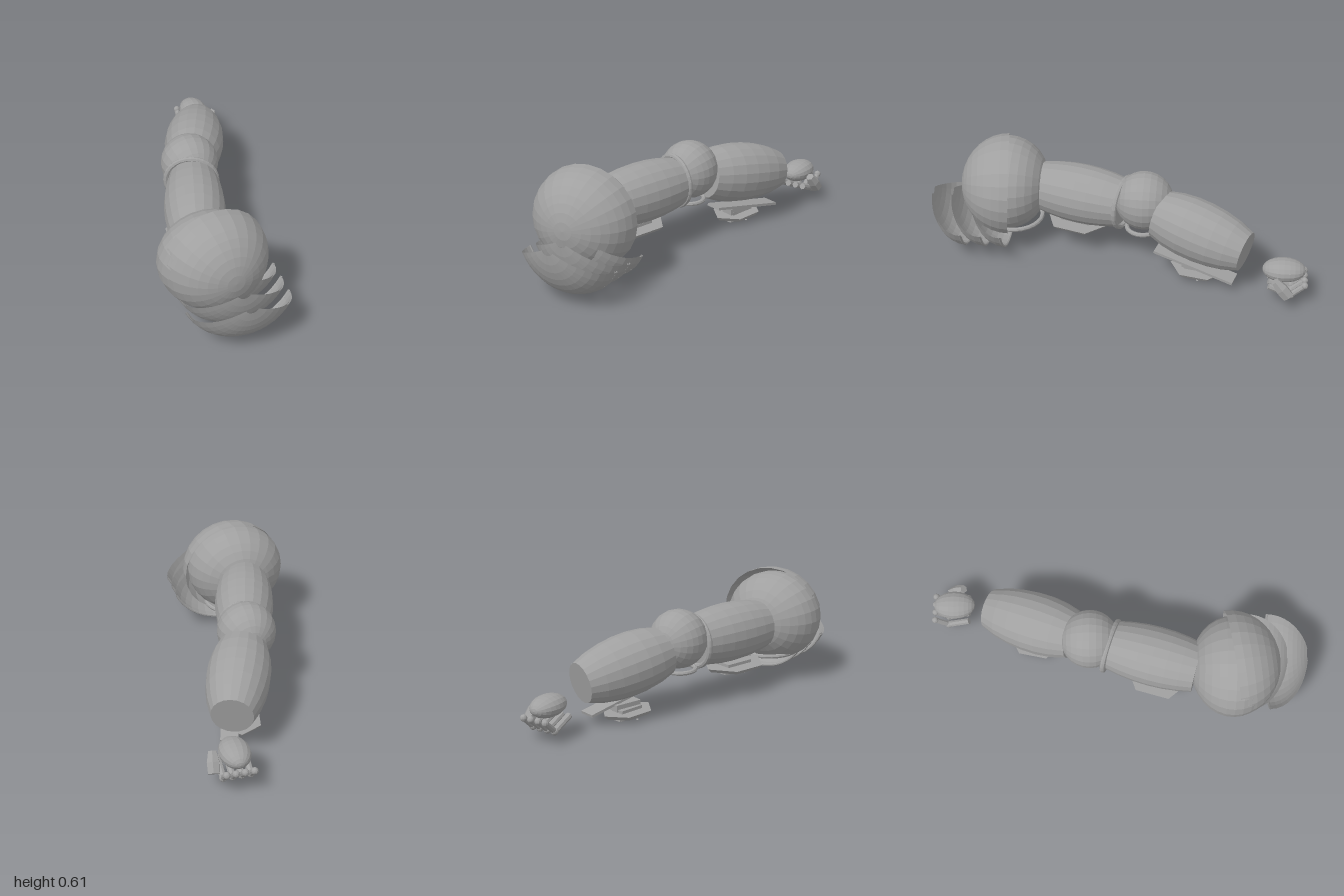
import * as THREE from 'three';

const armorGrey = new THREE.MeshStandardMaterial({ color: 0xa0a0a0, flatShading: true, side: THREE.DoubleSide });
armorGrey.name = 'armorGrey';
const V = (x, y, z) => new THREE.Vector3(x, y, z);
const UP = V(0, 1, 0);

function part(name, geo, pos, parent) {
  const m = new THREE.Mesh(geo, armorGrey);
  m.name = name;
  m.position.copy(pos);
  parent.add(m);
  return m;
}

// Barrel between two points; radii are spread evenly along it
function barrel(name, a, b, radii, parent, sides = 20) {
  const d = b.clone().sub(a), len = d.length();
  const pts = radii.map((r, i) => new THREE.Vector2(r, len * i / (radii.length - 1)));
  pts.unshift(new THREE.Vector2(0, 0));
  pts.push(new THREE.Vector2(0, len));
  const m = part(name, new THREE.LatheGeometry(pts, sides), a, parent);
  m.quaternion.setFromUnitVectors(UP, d.normalize());
  return m;
}

// Ellipsoid with its poles on the z axis
function ball(name, pos, rx, ry, rz, parent, ws = 24, hs = 16, arc = Math.PI) {
  const g = new THREE.SphereGeometry(1, ws, hs, 0, Math.PI * 2, 0, arc);
  g.rotateX(Math.PI / 2).scale(rx, ry, rz);
  return part(name, g, pos, parent);
}

// Hanging stack of elongated hexagonal armour plates with rivets
function plateStack(name, pos, halfW, halfL, turn, parent) {
  const s = new THREE.Group();
  s.name = name;
  s.position.copy(pos);
  parent.add(s);
  const hex = new THREE.CylinderGeometry(1, 0.88, 0.02, 6).scale(halfW / 0.866, 1, halfL);
  part('hexPlate', hex, V(0, 0, 0), s).rotation.y = turn;
  const layers = [[0.75, 0.55, -0.022, 0.012], [0.6, 0.42, -0.03, 0.006], [0.36, 0.22, -0.036, 0.004]];
  for (const [w, l, y, h] of layers) {
    part('insetPlate', new THREE.BoxGeometry(w * halfW, h, l * 2 * halfL), V(0, y, 0), s).rotation.y = turn;
  }
  part('mount', new THREE.BoxGeometry(halfW * 0.8, 0.016, halfL * 0.9), V(0, 0.018, 0), s).rotation.y = turn;
  for (const side of [-1, 1]) {
    part('rivet', new THREE.SphereGeometry(0.007, 8, 6).scale(1, 0.5, 1), V(side * 0.065, -0.031, 0), s);
  }
}

export function createModel() {
  const arm = new THREE.Group();
  arm.name = 'armoredArm';

  // Shoulder: ball with a slightly larger tilted cap over its front
  ball('shoulderBall', V(-0.14, 0.345, 0.605), 0.265, 0.243, 0.22, arm);
  const cap = ball('shoulderCap', V(-0.122, 0.345, 0.6), 0.277, 0.265, 0.25, arm, 24, 9, Math.PI / 2);
  cap.rotation.set(-0.05, 0.14, 0);
  part('shoulderRing', new THREE.TorusGeometry(0.15, 0.012, 8, 28).rotateX(Math.PI / 2), V(-0.12, 0.15, 0.575), arm);

  // Three overlapping curved guards under the shoulder
  const span = 130 * Math.PI / 180;
  for (let i = 0; i < 3; i++) {
    const guard = new THREE.Group();
    guard.name = 'shoulderGuard';
    guard.position.set(-0.063, 0.33, 0.81 - i * 0.105);
    arm.add(guard);
    for (const r of [0.293, 0.286]) {
      const g = new THREE.SphereGeometry(1, 14, 9, (Math.PI - span) / 2, span, 0.12, Math.PI / 2 - 0.12);
      g.rotateX(Math.PI / 2).scale(r, r, r * 0.65);
      part('guardShell', g, V(0, 0, 0), guard);
    }
    const rim = new THREE.TorusGeometry(0.289, 0.007, 6, 18, span).rotateZ(Math.PI * 1.5 - span / 2);
    part('guardRim', rim, V(0, 0, -0.003), guard);
  }

  // Upper arm and its underside armour
  barrel('upperArm', V(-0.145, 0.335, 0.42), V(-0.02, 0.335, -0.02),
    [0.13, 0.145, 0.154, 0.157, 0.154, 0.145, 0.13], arm);
  plateStack('upperArmPlates', V(-0.11, 0.15, 0.225), 0.13, 0.18, -0.28, arm);

  // Elbow: cuff ring, ball and lower ring
  const cuff = part('elbowCuff', new THREE.TorusGeometry(0.134, 0.014, 8, 28), V(-0.025, 0.335, -0.03), arm);
  cuff.rotation.y = -0.33;
  ball('elbowBall', V(0, 0.37, -0.138), 0.152, 0.155, 0.152, arm, 22, 14);
  part('elbowRing', new THREE.TorusGeometry(0.083, 0.012, 8, 24).rotateX(Math.PI / 2), V(0, 0.205, -0.13), arm);

  // Forearm with a tilted splint and hanging plates below
  barrel('forearm', V(0.042, 0.32, -0.225), V(0.222, 0.24, -0.675),
    [0.128, 0.15, 0.16, 0.16, 0.152, 0.135, 0.106], arm);
  const splint = part('forearmSplint', new THREE.BoxGeometry(0.09, 0.014, 0.44), V(0.165, 0.105, -0.42), arm);
  splint.lookAt(V(0.105, 0.15, -0.21));
  const strip = part('splintStrip', new THREE.BoxGeometry(0.03, 0.012, 0.3), V(0.165, 0.09, -0.44), arm);
  strip.quaternion.copy(splint.quaternion);
  const block = part('splintBlock', new THREE.BoxGeometry(0.06, 0.035, 0.15), V(0.13, 0.072, -0.43), arm);
  block.rotation.y = -0.3;
  plateStack('forearmPlates', V(0.117, 0.04, -0.435), 0.1, 0.15, -0.2, arm);

  // Hand: rounded back, four curled fingers and a thumb
  const hand = new THREE.Group();
  hand.name = 'hand';
  arm.add(hand);
  ball('palm', V(0.265, 0.175, -0.875), 0.077, 0.056, 0.11, hand, 16, 12);
  for (let i = 0; i < 4; i++) {
    const x = 0.197 + i * 0.045;
    const knuckle = V(x, 0.13, -0.982), joint = V(x, 0.068, -0.915), tip = V(x, 0.115, -0.8);
    barrel('fingerBase', knuckle, joint, [0.015, 0.015], hand, 8);
    barrel('fingerEnd', joint, tip, [0.017, 0.017], hand, 8);
    part('fingerJoint', new THREE.SphereGeometry(0.02, 10, 8), joint, hand);
    part('knuckle', new THREE.SphereGeometry(0.018, 10, 8), knuckle, hand);
  }
  barrel('thumb', V(0.362, 0.17, -0.83), V(0.372, 0.088, -0.9), [0.022, 0.034, 0.032], hand, 6);

  return arm;
}
